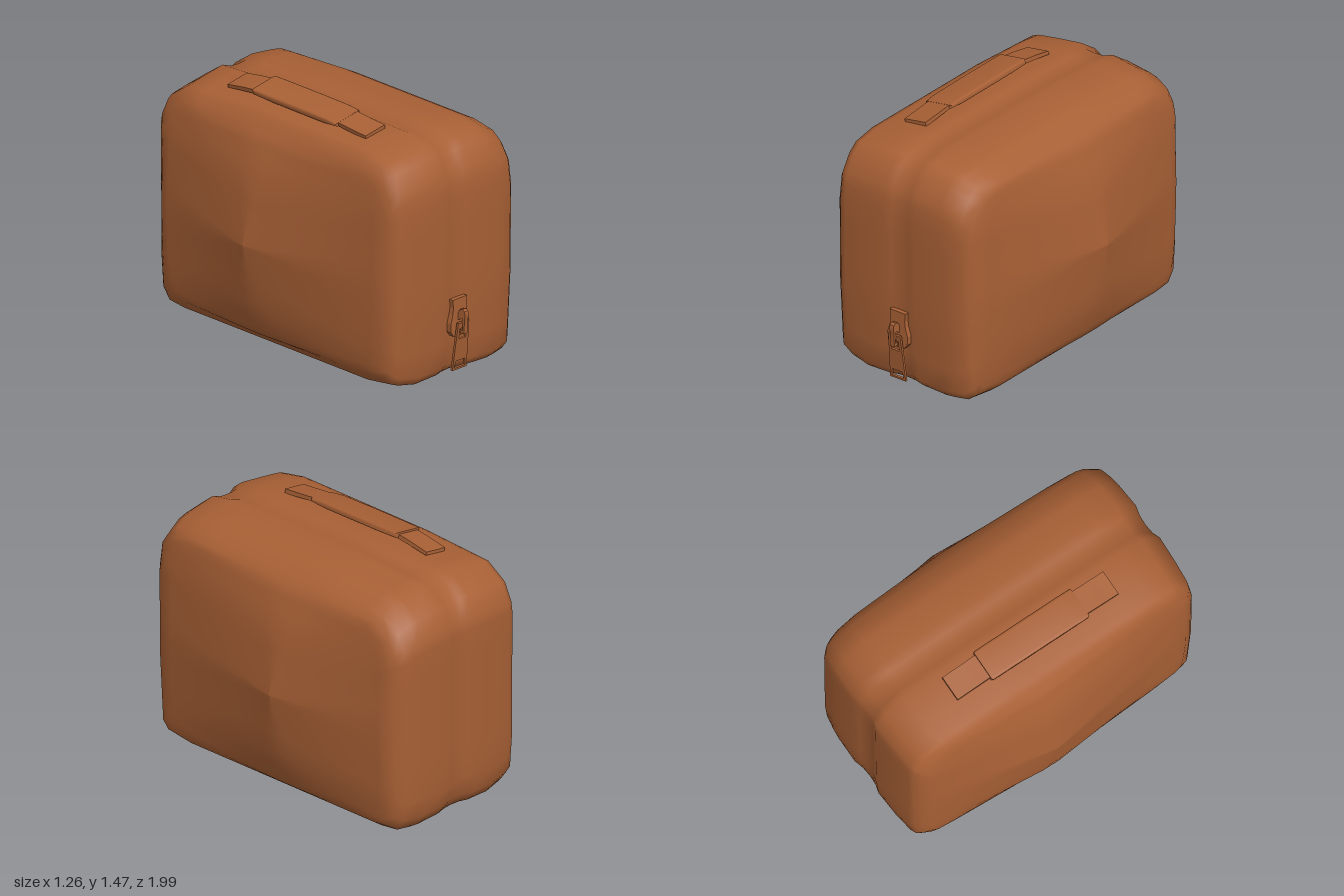
import * as THREE from 'three';
import { toCreasedNormals } from 'three/addons/utils/BufferGeometryUtils.js';

const leather = new THREE.MeshStandardMaterial({ color: 0xa86035, side: THREE.DoubleSide });

function add(parent, name, geometry) {
  const mesh = new THREE.Mesh(geometry, leather);
  mesh.name = name;
  parent.add(mesh);
  return mesh;
}

// Closed outline in (z, y), running front bottom -> back -> top -> front
const OUTLINE = [
  [0.91, 0.08], [0.87, 0.03], [0.68, 0.005], [-0.8, 0.015], [-0.92, 0.03], [-0.97, 0.1],
  [-0.985, 0.3], [-0.99, 1.13], [-0.98, 1.2], [-0.93, 1.31], [-0.8, 1.4], [-0.3, 1.425],
  [0.65, 1.42], [0.8, 1.39], [0.86, 1.34], [0.92, 1.24], [0.94, 1.08], [0.935, 0.5],
];

// Split long spans so the side panels can swell smoothly
function subdivide(points, step) {
  const out = [];
  points.forEach(([z, y], i) => {
    const [z2, y2] = points[(i + 1) % points.length];
    const n = Math.ceil(Math.hypot(z2 - z, y2 - y) / step);
    for (let k = 0; k < n; k++) out.push([z + (z2 - z) * k / n, y + (y2 - y) * k / n]);
  });
  return out;
}

// How far a side panel swells at (z, y): 1 at the peak, 0 at the rim
function swell(z, y) {
  const u = Math.abs(y - 0.67) / 0.7;
  const v = Math.abs(z + 0.12) / (z > -0.12 ? 1.03 : 0.87);
  const f = u < 0.58 ? 1 - 0.55 * u : 0.68 - 1.62 * (u - 0.58);
  return Math.max(0, f) * Math.max(0, 1 - 0.87 * v);
}

function bodyGeometry() {
  const base = subdivide(OUTLINE, 0.16);
  // Shell sections: x, inset of the top, of the bottom, of front and back
  const sections = [
    [-0.46, 0.11, 0.08, 0.06], [-0.43, 0.055, 0.04, 0.03], [-0.39, 0.04, 0.025, 0.018],
    [-0.27, 0.022, 0, 0.008], [-0.11, 0, 0.01, 0], [-0.06, 0.018, 0.013, 0.014],
    [0, 0.021, 0.014, 0.018], [0.06, 0.018, 0.013, 0.014], [0.12, 0, 0.01, 0],
    [0.28, 0.018, 0, 0.006], [0.34, 0.032, 0.004, 0.012], [0.42, 0.075, 0.012, 0.025],
    [0.46, 0.11, 0.04, 0.06],
  ];
  const shell = sections.map(([x, top, bottom, ends]) => base.map(([z, y]) => [
    x,
    0.67 + (y - 0.67) * (1 - (y > 0.67 ? top / 0.755 : bottom / 0.665)),
    z * (1 - ends / 0.95),
  ]));
  // Side panels: shrinking copies of the rim that rise to a soft peak
  const panel = (rim, side) => [0.95, 0.88, 0.75, 0.58, 0.4, 0.2, 0].map(k => rim.map(([, y0, z0]) => {
    const y = 0.67 + (y0 - 0.67) * k, z = -0.12 + (z0 + 0.12) * k;
    return [side * (0.46 + 0.17 * swell(z, y)), y, z];
  }));
  const rings = [
    ...panel(shell[0], -1).reverse(), ...shell, ...panel(shell[shell.length - 1], 1),
  ];
  const n = base.length, index = [];
  for (let i = 0; i < rings.length - 1; i++) {
    for (let j = 0; j < n; j++) {
      const a = i * n + j, b = i * n + (j + 1) % n;
      index.push(a, b, a + n, b, b + n, a + n);
    }
  }
  const g = new THREE.BufferGeometry();
  g.setAttribute('position', new THREE.Float32BufferAttribute(rings.flat(2), 3));
  g.setIndex(index);
  g.computeVertexNormals();
  return g;
}

const shapeOf = points => new THREE.Shape(points.map(p => new THREE.Vector2(...p)));

// Side profile in (z, y), given width across x and centred on x = 0
function strip(points, width, bevel) {
  const g = new THREE.ExtrudeGeometry(shapeOf(points), {
    depth: width - 2 * bevel, bevelEnabled: bevel > 0, bevelSize: bevel * 0.6,
    bevelThickness: bevel, bevelOffset: -bevel * 0.6, bevelSegments: 3,
  });
  g.translate(0, 0, -(width - 2 * bevel) / 2).rotateY(-Math.PI / 2);
  return toCreasedNormals(g, 0.7);
}

// Flat plate in (x, y) with optional holes
function plate(points, depth, holes = []) {
  const s = shapeOf(points);
  holes.forEach(h => s.holes.push(shapeOf(h)));
  return new THREE.ExtrudeGeometry(s, { depth, bevelEnabled: false });
}

// Mirror a right-hand edge (listed upwards) into a closed outline
const mirrored = half => [...half, ...[...half].reverse().map(([x, y]) => [-x, y])];

export function createModel() {
  const model = new THREE.Group();
  model.name = 'bag';
  add(model, 'body', bodyGeometry());

  // Carrying handle, off centre and tilted with the shoulder of the bag
  const handle = new THREE.Group();
  handle.name = 'handle';
  handle.position.set(-0.225, 1.42, 0);
  handle.rotation.z = 0.17;
  add(handle, 'handleStrap', strip([
    [0.51, -0.02], [0.51, 0.005], [0.42, 0.012], [0.3, 0.024], [0, 0.03], [-0.35, 0.03],
    [-0.45, 0.018], [-0.57, -0.002], [-0.57, -0.022], [-0.45, -0.006], [-0.35, 0.005],
    [0.3, 0.002], [0.42, -0.012],
  ], 0.15, 0));
  add(handle, 'handleGrip', strip([
    [0.3, 0.005], [0.3, 0.025], [0.22, 0.035], [0, 0.039], [-0.25, 0.041], [-0.355, 0.041],
    [-0.355, 0.008], [-0.2, 0.002], [0.2, -0.002],
  ], 0.19, 0.015));
  model.add(handle);

  // Zip slider on the front
  const zip = new THREE.Group();
  zip.name = 'zip';
  const slider = plate(mirrored([
    [0.045, 0.27], [0.068, 0.3], [0.07, 0.35], [0.055, 0.4], [0.05, 0.44], [0.055, 0.49],
  ]), 0.04);
  add(zip, 'zipSlider', slider).position.z = 0.905;

  // Hooked bridge that holds the pull
  add(zip, 'zipBridge', strip([
    [0.94, 0.36], [0.975, 0.38], [0.98, 0.31], [0.96, 0.31], [0.96, 0.29], [0.99, 0.29],
    [0.995, 0.38], [1.0, 0.4], [0.995, 0.425], [0.98, 0.435], [0.96, 0.43], [0.94, 0.4],
  ], 0.028, 0));

  // Hanging pull tab with a slot at each end
  const pull = plate(mirrored([[0.055, 0.07], [0.042, 0.36]]), 0.014, [
    mirrored([[0.042, 0.082], [0.035, 0.125]]),
    mirrored([[0.026, 0.26], [0.026, 0.325]]),
  ]);
  pull.translate(0, -0.07, 0);
  const tab = add(zip, 'zipPull', pull);
  tab.position.set(0, 0.07, 0.927);
  tab.rotation.x = 0.12;
  model.add(zip);
  return model;
}
